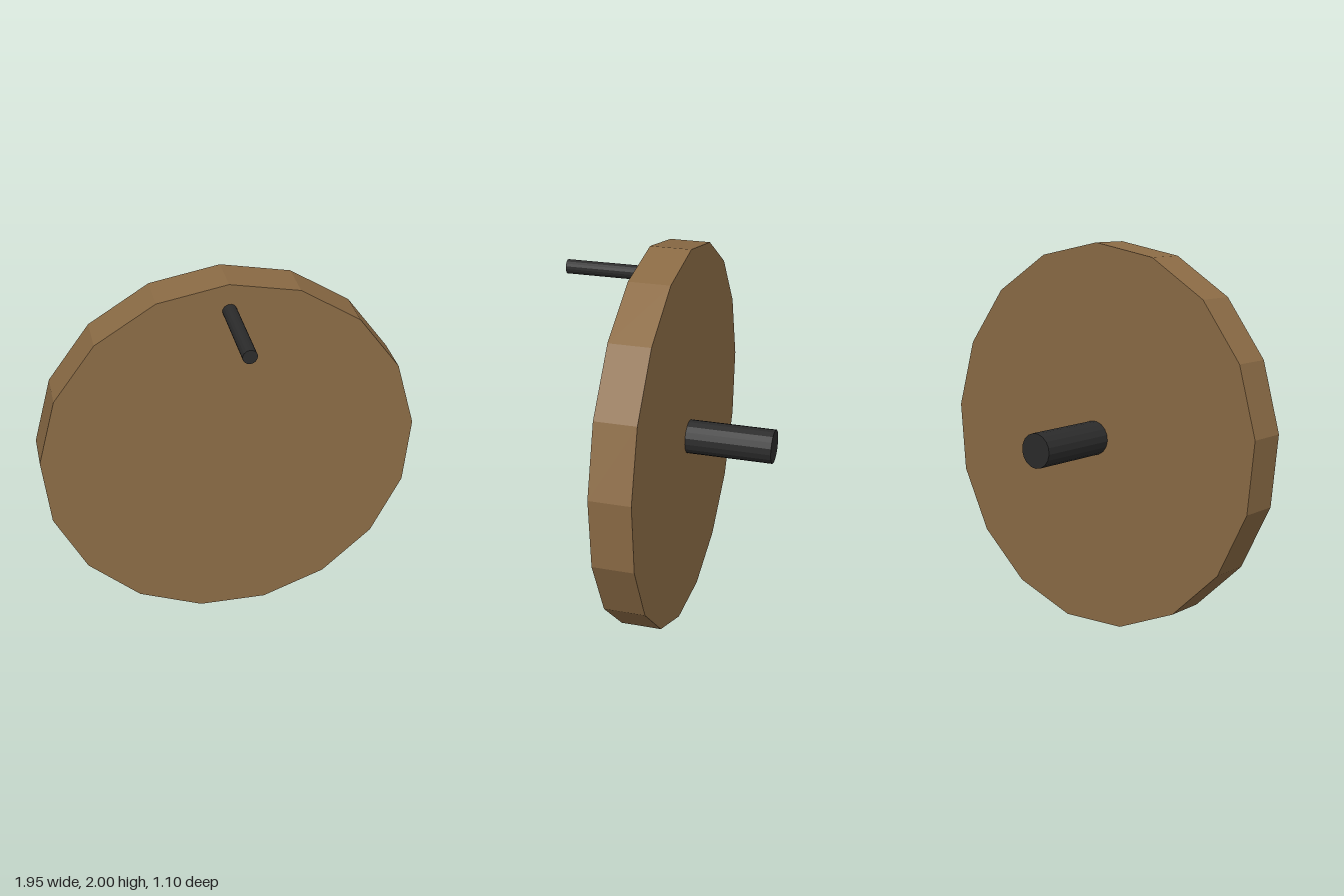
import * as THREE from 'three';

const SIDES = 17;
const wood = new THREE.MeshStandardMaterial({ color: 0x8b6b45, flatShading: true });
const iron = new THREE.MeshStandardMaterial({ color: 0x2b2b2b, flatShading: true });

// Straight rod along z between two depths
function rod(name, x, y, radius, z0, z1) {
  const geometry = new THREE.CylinderGeometry(radius, radius, z1 - z0, SIDES);
  geometry.rotateX(Math.PI / 2);
  const mesh = new THREE.Mesh(geometry, iron);
  mesh.position.set(x, y, (z0 + z1) / 2);
  mesh.name = name;
  return mesh;
}

export function createModel() {
  const group = new THREE.Group();
  group.name = 'crankWheel';

  // Wheel: a 17-sided slab, slightly oval along a diagonal
  const rim = [];
  for (let i = 0; i < SIDES; i++) {
    const a = Math.PI / 2 + (i / SIDES) * Math.PI * 2;
    const c = Math.cos(a), s = Math.sin(a);
    rim.push(new THREE.Vector2(-0.002 + 0.981 * c - 0.0115 * s, 0.995 - 0.0115 * c + 1.005 * s));
  }
  const slab = new THREE.ExtrudeGeometry(new THREE.Shape(rim), { depth: 0.212, bevelEnabled: false });
  slab.translate(0, 0, -0.097);
  const wheel = new THREE.Mesh(slab, wood);
  wheel.name = 'wheel';
  group.add(wheel);

  // Crank handle near the rim in front, axle in the middle behind
  group.add(rod('crankHandle', -0.01, 1.858, 0.036, 0.1, 0.55));
  group.add(rod('axle', 0.002, 0.997, 0.089, -0.55, -0.08));

  return group;
}
